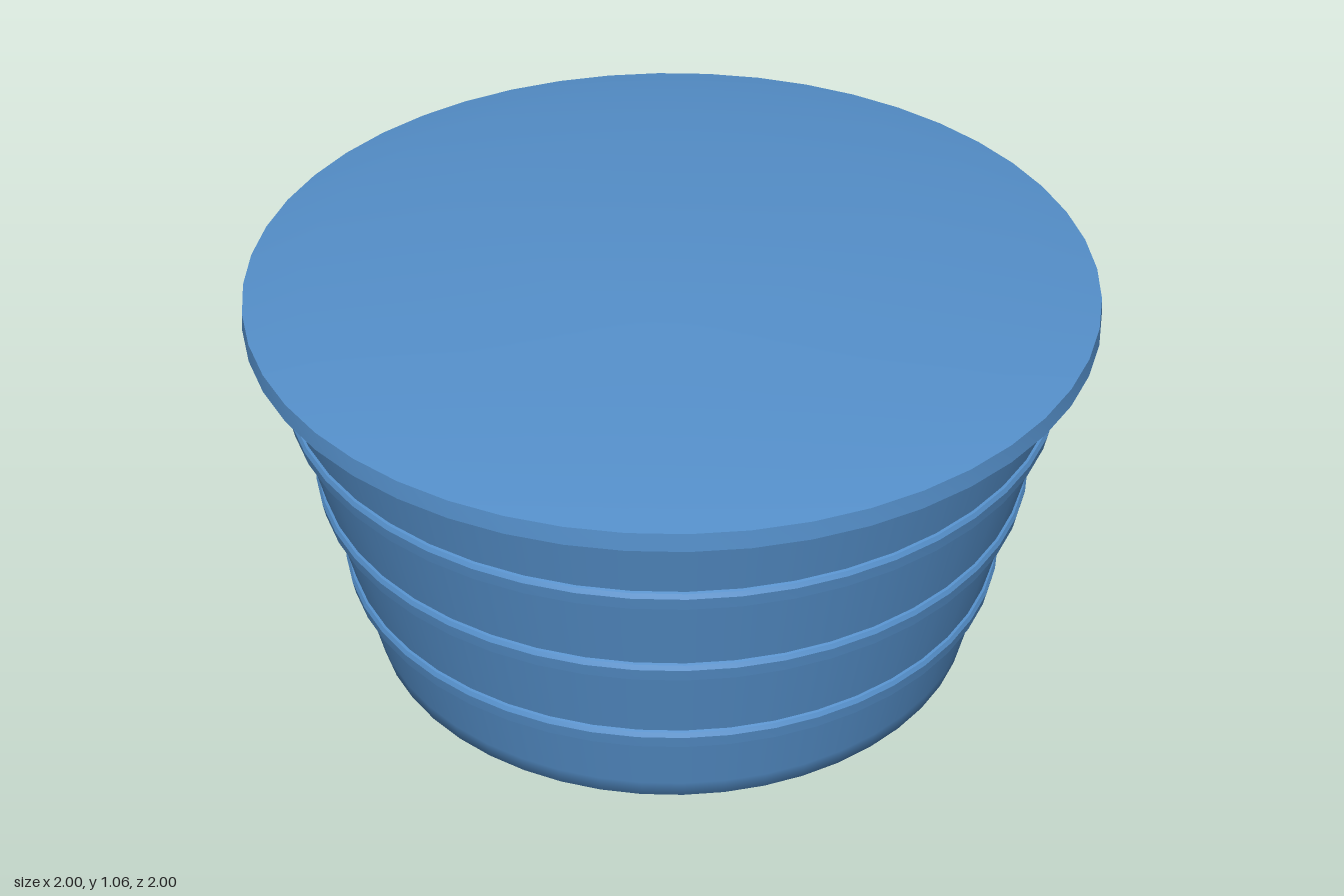
import * as THREE from 'three';
import { toCreasedNormals } from 'three/addons/utils/BufferGeometryUtils.js';

const SEGMENTS = 48;

// Revolve a list of [radius, height] pairs, running from bottom to top
function lathe(profile, segments = SEGMENTS) {
  return new THREE.LatheGeometry(profile.map(([r, y]) => new THREE.Vector2(r, y)), segments);
}

export function createModel() {
  const model = new THREE.Group();
  model.name = 'waterTank';

  const blue = new THREE.MeshStandardMaterial({ color: 0x5590cb });
  blue.name = 'blue plastic';
  const grey = new THREE.MeshStandardMaterial({ color: 0xd2cdc4 });
  grey.name = 'pale grey pipe';

  const add = (name, geometry, material) => {
    const mesh = new THREE.Mesh(geometry, material);
    mesh.name = name;
    model.add(mesh);
    return mesh;
  };

  // Tapered wall radius at a given height
  const wallRadius = (y) => 0.735 + (y - 0.035) * 0.232;

  // Tub with a softly shaded chamfer at the base
  add('tub', lathe([
    [0, 0], [0.62, 0], [0.69, 0], [0.735, 0.035],
    [wallRadius(0.08), 0.08], [wallRadius(0.5), 0.5], [wallRadius(0.95), 0.95],
  ]), blue);

  // Three raised reinforcing bands with bevelled edges
  [0.253, 0.495, 0.738].forEach((y, i) => {
    const r = wallRadius(y) + 0.014;
    const profile = [
      [wallRadius(y - 0.026) - 0.003, y - 0.026],
      [r - 0.003, y - 0.018],
      [r + 0.003, y + 0.014],
      [r - 0.002, y + 0.025],
      [wallRadius(y + 0.028) - 0.003, y + 0.028],
    ];
    add(`band${i + 1}`, toCreasedNormals(lathe(profile), 0.3), blue);
  });

  // Overhanging lid with a shallow domed top
  add('lid', toCreasedNormals(lathe([
    [0.92, 0.943], [0.998, 0.943], [0.995, 0.987],
    [0.86, 1.011], [0.6, 1.034], [0.31, 1.058], [0, 1.062],
  ]), 0.3), blue);

  // Hollow outlet pipe near the base, pointing along +x
  const pipe = toCreasedNormals(lathe([
    [0.029, 0], [0.037, 0], [0.037, 0.088], [0.029, 0.088], [0.029, 0],
  ], 24), 0.5);
  const outlet = add('outletPipe', pipe, grey);
  outlet.rotation.z = -Math.PI / 2;
  outlet.position.set(0.748, 0.102, 0);

  return model;
}
